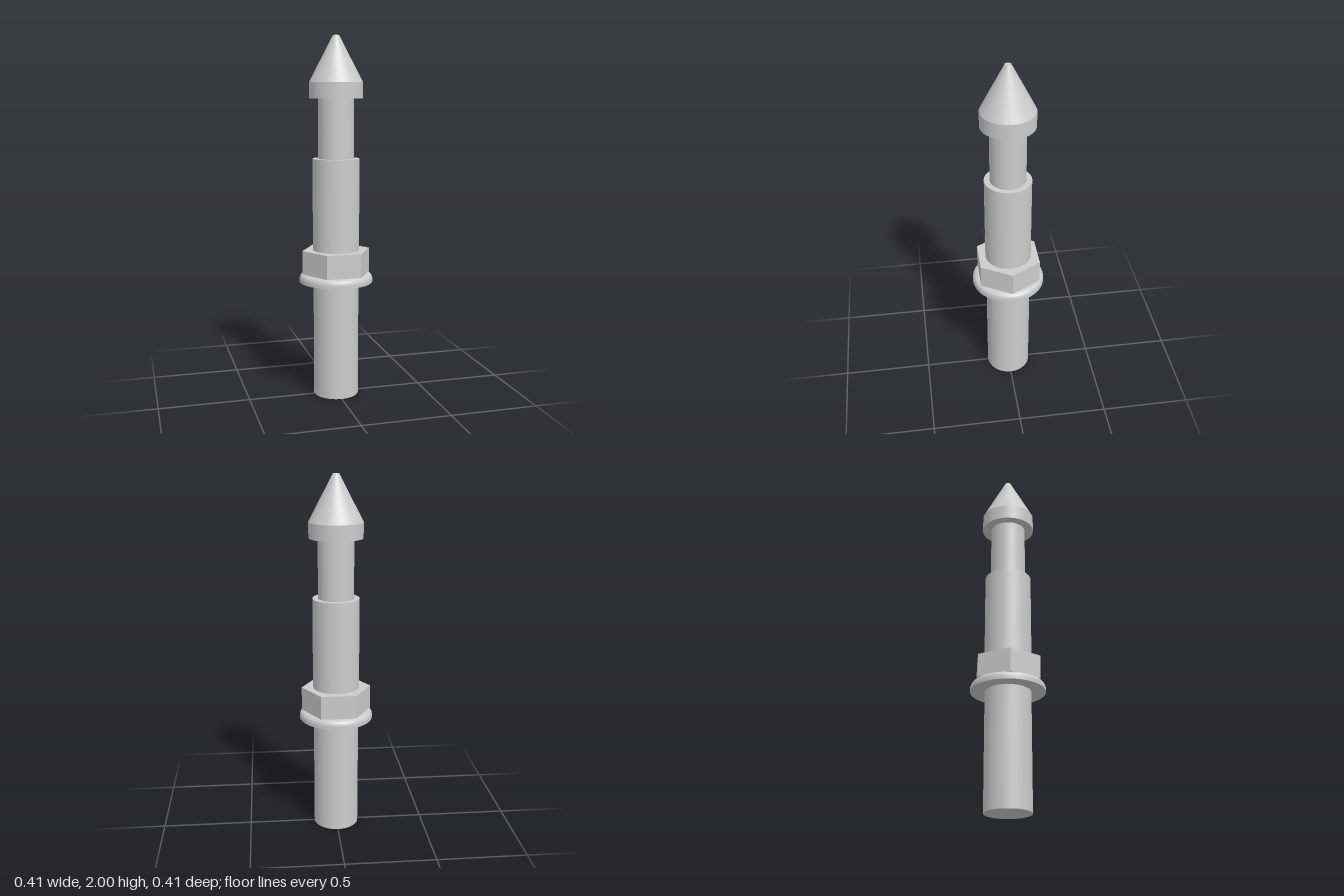
import * as THREE from 'three';
import { toCreasedNormals } from 'three/addons/utils/BufferGeometryUtils.js';

const SEGMENTS = 48;

export function createModel() {
  const group = new THREE.Group();
  const material = new THREE.MeshStandardMaterial({ color: 0xcccccc });

  // Upright round or prismatic section between two heights
  function section(name, y0, y1, rBottom, rTop = rBottom, sides = SEGMENTS, open = false) {
    const geometry = new THREE.CylinderGeometry(rTop, rBottom, y1 - y0, sides, 1, open);
    const mesh = new THREE.Mesh(sides < 12 ? toCreasedNormals(geometry, 0.5) : geometry, material);
    mesh.name = name;
    mesh.position.y = (y0 + y1) / 2;
    group.add(mesh);
    return mesh;
  }

  section('lowerShaft', 0, 0.65, 0.126);

  // Washer flange with a rounded upper rim
  const radius = 0.204, bottom = 0.65, top = 0.698, fillet = 0.03;
  const profile = [new THREE.Vector2(0, bottom), new THREE.Vector2(radius, bottom)];
  for (let i = 0; i <= 8; i++) {
    const a = (i / 8) * Math.PI / 2;
    profile.push(new THREE.Vector2(
      radius - fillet + fillet * Math.cos(a),
      top - fillet + fillet * Math.sin(a)
    ));
  }
  profile.push(new THREE.Vector2(0, top));
  const flange = new THREE.Mesh(
    toCreasedNormals(new THREE.LatheGeometry(profile, SEGMENTS), 0.6), material);
  flange.name = 'flange';
  group.add(flange);

  // Hexagon with corners on the x axis
  section('hexNut', 0.698, 0.83, 0.193, 0.193, 6).rotation.y = Math.PI / 6;

  section('upperShaft', 0.83, 1.338, 0.129);
  section('neck', 1.338, 1.665, 0.098);

  // Pointed head: straight collar and blunt cone
  section('headCollar', 1.665, 1.75, 0.147);
  section('headCone', 1.75, 2, 0.147, 0.017);

  return group;
}
